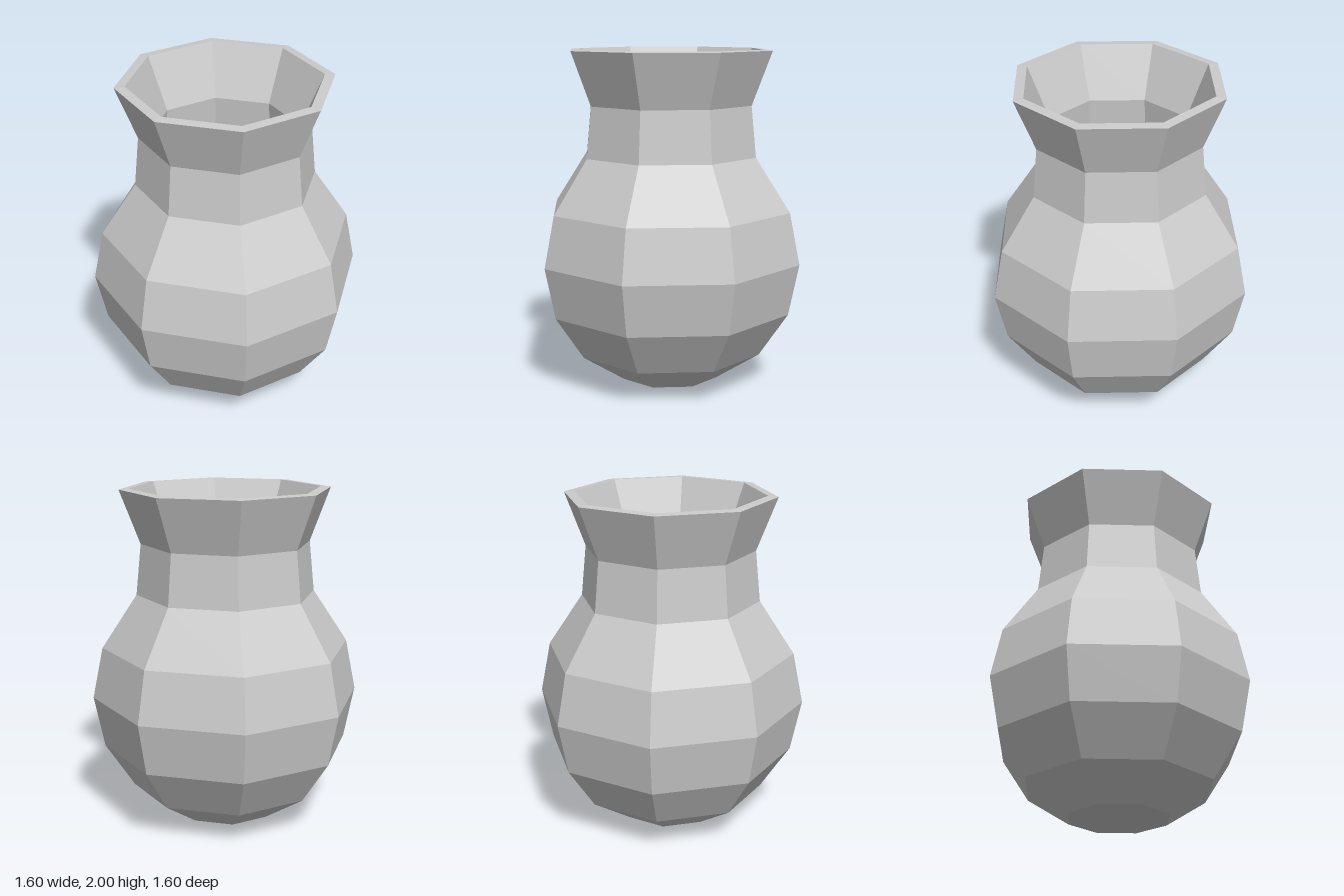
import * as THREE from 'three';

const SIDES = 8;

export function createModel() {
  const model = new THREE.Group();
  model.name = 'vase';
  const material = new THREE.MeshStandardMaterial({ color: 0xcccccc, flatShading: true });

  // Eight-sided revolved surface with corners on the x and z axes
  const addLathe = (name, profile) => {
    const points = profile.map(([r, y]) => new THREE.Vector2(r, y));
    const mesh = new THREE.Mesh(new THREE.LatheGeometry(points, SIDES), material);
    mesh.name = name;
    model.add(mesh);
  };

  const outerRim = [0.62, 1.995];
  const innerRim = [0.56, 2];

  // Outer wall, from the base centre up to the flared lip
  addLathe('outerWall', [
    [0, 0], [0.305, 0.025], [0.565, 0.195], [0.738, 0.455], [0.8, 0.76],
    [0.738, 1.065], [0.53, 1.38], [0.5, 1.68], outerRim,
  ]);

  // Flat lip joining both walls
  addLathe('rim', [outerRim, innerRim]);

  // Inner wall, from the lip down to the floor
  addLathe('innerWall', [
    innerRim, [0.43, 1.69], [0.46, 1.35], [0.67, 1.04], [0.73, 0.76],
    [0.675, 0.485], [0.525, 0.25], [0.28, 0.09], [0, 0.07],
  ]);

  return model;
}
